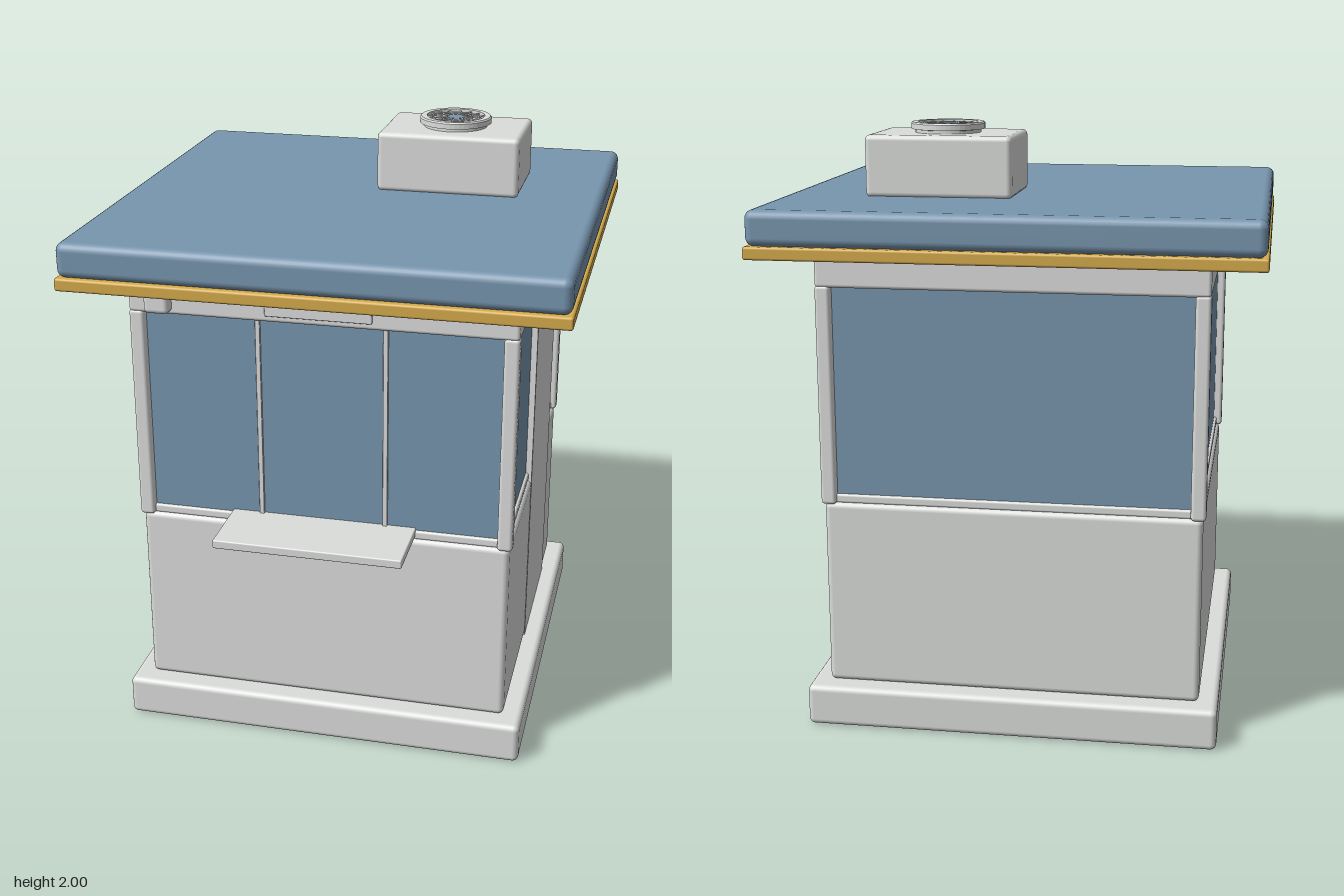
import * as THREE from 'three';
import { RoundedBoxGeometry } from 'three/addons/geometries/RoundedBoxGeometry.js';

const flat = (name, color) => {
  const m = new THREE.MeshStandardMaterial({ color });
  m.name = name;
  return m;
};

export function createModel() {
  const white = flat('white panel', 0xdcdedc);
  const blue = flat('slate blue', 0x7896af);
  const gold = flat('gold trim', 0xd6ac4c);

  const model = new THREE.Group();
  model.name = 'guardBooth';
  const add = (name, geometry, material, parent = model) => {
    const mesh = new THREE.Mesh(geometry, material);
    mesh.name = name;
    parent.add(mesh);
    return mesh;
  };
  // Rounded box given by its limits on each axis
  const box = (name, material, [x0, x1], [y0, y1], [z0, z1], r = 0.01) => {
    const mesh = add(name, new RoundedBoxGeometry(x1 - x0, y1 - y0, z1 - z0, 3, r), material);
    mesh.position.set((x0 + x1) / 2, (y0 + y1) / 2, (z0 + z1) / 2);
    return mesh;
  };
  // Square slab centred on the booth
  const cz = -0.011;
  const slab = (name, material, half, y, r) =>
    box(name, material, [-half, half], y, [cz - half, cz + half], r);

  // Plinth, walls, glazing and lintel
  slab('base', white, 0.69, [0, 0.14], 0.02);
  slab('lowerWalls', white, 0.627, [0.14, 0.775], 0.02);
  slab('windowRail', white, 0.617, [0.772, 0.802], 0.008);
  slab('windows', blue, 0.607, [0.79, 1.52], 0.002);
  slab('lintel', white, 0.635, [1.498, 1.615], 0.012);

  // Roof with its gold eave
  slab('eaveTrim', gold, 0.81, [1.61, 1.652], 0.008);
  slab('roof', blue, 0.805, [1.65, 1.765], 0.028);

  // Corner posts
  for (const sx of [-1, 1]) for (const sz of [-1, 1]) {
    const px = sx * 0.611, pz = cz + sz * 0.611;
    box('cornerPost', white, [px - 0.025, px + 0.025], [0.77, 1.505], [pz - 0.025, pz + 0.025], 0.012);
  }

  // Front mullions, counter, sign panel and lamp
  for (const x of [-0.21, 0.21])
    box('mullion', white, [x - 0.008, x + 0.008], [0.8, 1.5], [0.585, 0.607], 0.003);
  box('counter', white, [-0.313, 0.313], [0.78, 0.81], [0.57, 0.83], 0.005);
  box('signPanel', white, [-0.176, 0.172], [1.522, 1.605], [0.61, 0.638], 0.004);
  box('lamp', white, [-0.572, -0.488], [1.508, 1.59], [0.61, 0.662], 0.016);

  // Door on the left wall
  box('door', white, [0.595, 0.629], [0.14, 1.442], [-0.45, 0.075], 0.003);

  // Rooftop air conditioner
  box('airConditioner', white, [0.033, 0.523], [1.76, 1.965], [-0.4, -0.052], 0.018);
  const fan = new THREE.Group();
  fan.name = 'fan';
  fan.position.set(0.276, 1.965, -0.225);
  model.add(fan);

  // Fan collar turned as a closed ring
  const profile = [[0.1, 0], [0.11, 0], [0.11, 0.01], [0.124, 0.012], [0.124, 0.03], [0.12, 0.035], [0.1, 0.035], [0.1, 0]];
  const collar = new THREE.LatheGeometry(profile.map(([x, y]) => new THREE.Vector2(x, y)), 48).toNonIndexed();
  collar.computeVertexNormals();
  add('fanCollar', collar, white, fan);
  add('fanWell', new THREE.CylinderGeometry(0.1, 0.1, 0.014, 40), blue, fan).position.y = 0.007;
  add('fanHub', new THREE.CylinderGeometry(0.03, 0.03, 0.03, 24), blue, fan).position.y = 0.015;

  // Grille rings and spokes
  for (const r of [0.034, 0.056, 0.08]) {
    const ring = add('grilleRing', new THREE.TorusGeometry(r, 0.003, 6, 40), white, fan);
    ring.rotation.x = Math.PI / 2;
    ring.position.y = 0.027;
  }
  for (let i = 0; i < 16; i++) {
    const a = (i / 16) * Math.PI * 2;
    const spoke = add('grilleSpoke', new THREE.BoxGeometry(0.07, 0.005, 0.005), white, fan);
    spoke.position.set(Math.cos(a) * 0.066, 0.027, Math.sin(a) * 0.066);
    spoke.rotation.y = -a;
  }
  return model;
}
